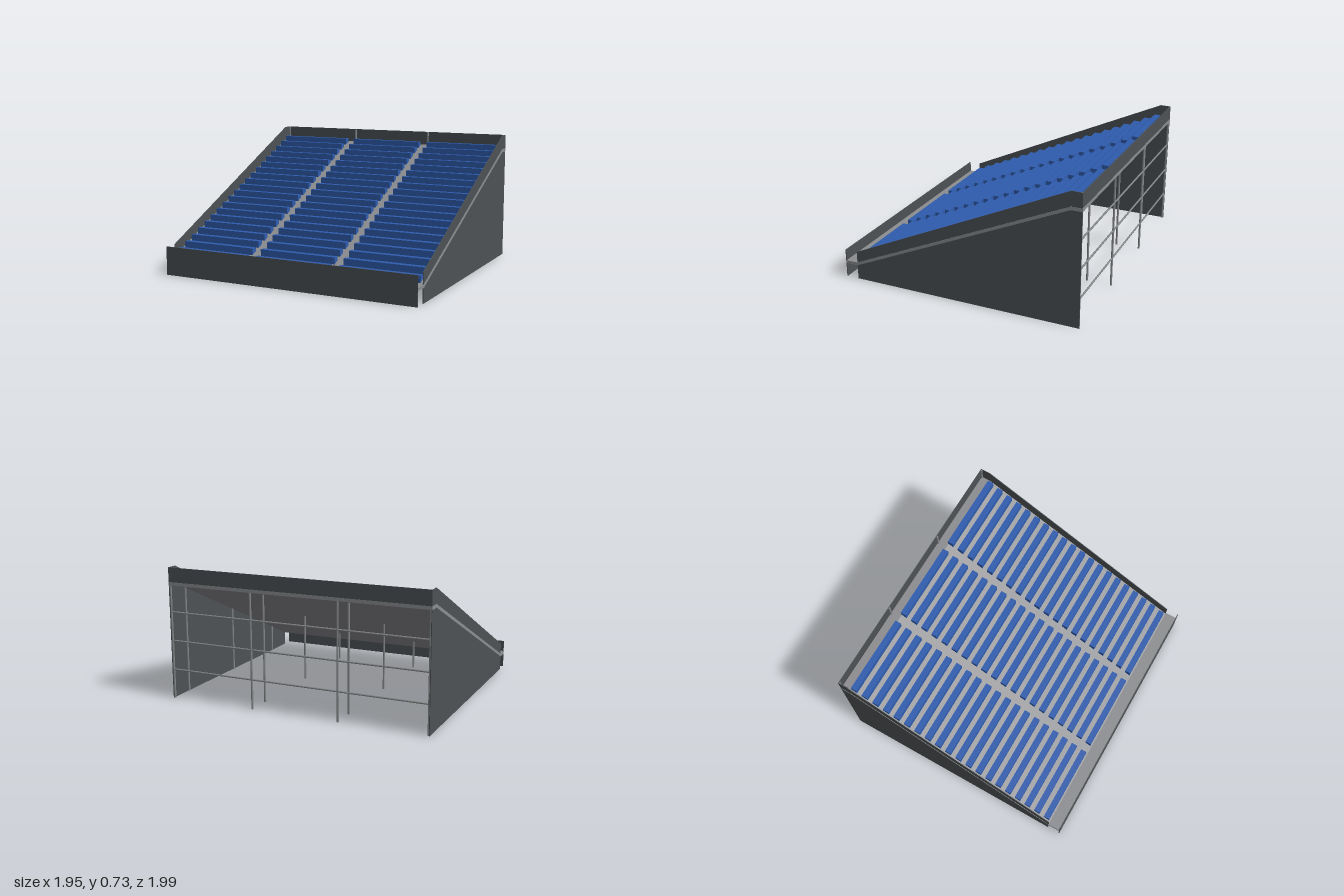
import * as THREE from 'three';

const wallMat = new THREE.MeshStandardMaterial({ name: 'dark cladding', color: 0x4d5255 });
const deckMat = new THREE.MeshStandardMaterial({ name: 'grey deck', color: 0x8c8d90 });
const seatMat = new THREE.MeshStandardMaterial({ name: 'blue seats', color: 0x2f5cae });
const steelMat = new THREE.MeshStandardMaterial({ name: 'grey steel', color: 0x85888a });

// Local frame: x runs up the slope, z across the stand
const FRONT = -0.683, BACK = 0.683, FOOT = -0.612, CREST = 0.623, HALF = 0.748;
const deckTop = (x) => 0.097 + THREE.MathUtils.clamp((x - FOOT) / (CREST - FOOT), 0, 1) * 0.553;

export function createModel() {
  const model = new THREE.Group();
  model.name = 'grandstand';
  const add = (geometry, material, name, x = 0, y = 0, z = 0) => {
    const mesh = new THREE.Mesh(geometry, material);
    mesh.name = name;
    mesh.position.set(x, y, z);
    model.add(mesh);
    return mesh;
  };
  // Side profile pushed out across the stand
  const slab = (points, width) => {
    const shape = new THREE.Shape(points.map(([x, y]) => new THREE.Vector2(x, y)));
    return new THREE.ExtrudeGeometry(shape, { depth: width, bevelEnabled: false }).translate(0, 0, -width / 2);
  };

  // Sloping deck with a walkway at the foot and the crest
  add(slab([
    [FRONT, 0.08], [FOOT, 0.08], [CREST, 0.632], [BACK + 0.001, 0.632],
    [BACK + 0.001, 0.65], [CREST, 0.65], [FOOT, 0.097], [FRONT, 0.097],
  ], 2 * HALF + 0.003), deckMat, 'deck');

  // Side walls
  const sideGeo = slab([[FOOT, 0], [BACK, 0], [BACK, 0.73], [CREST, 0.73], [FOOT, 0.16]], 0.004);
  for (const s of [-1, 1]) add(sideGeo, wallMat, s > 0 ? 'leftWall' : 'rightWall', 0, 0, s * (HALF - 0.002));

  // Front barrier and back parapet
  add(new THREE.BoxGeometry(0.004, 0.16, 2 * HALF), wallMat, 'frontBarrier', FRONT, 0.08, 0);
  add(new THREE.BoxGeometry(0.004, 0.085, 2 * HALF), wallMat, 'backParapet', BACK - 0.002, 0.6875, 0);

  // Bench rows in three blocks
  const rows = 20, firstRow = -0.586, lastRow = 0.61, seatHeight = 0.029;
  const blocks = [[-0.728, -0.28], [-0.227, 0.223], [0.274, 0.728]];
  for (let i = 0; i < rows; i++) {
    const x = THREE.MathUtils.lerp(firstRow, lastRow, i / (rows - 1));
    for (const [a, b] of blocks) {
      add(new THREE.BoxGeometry(0.034, seatHeight + 0.008, b - a), seatMat, 'bench',
        x, deckTop(x) + seatHeight / 2 - 0.004, (a + b) / 2);
    }
  }

  // Columns under the deck and posts along the back
  const column = (x, z, top, name) =>
    add(new THREE.CylinderGeometry(0.006, 0.006, top, 8), steelMat, name, x, top / 2, z);
  for (const z of [-0.741, -0.25, 0.25, 0.741]) {
    for (const x of [-0.43, 0.055, 0.54]) column(x, z, deckTop(x) - 0.01, 'column');
    column(BACK - 0.006, z, 0.728, 'backPost');
  }

  // Horizontal rails across the open back
  for (const y of [0.163, 0.325, 0.485]) {
    const rail = add(new THREE.CylinderGeometry(0.005, 0.005, 2 * HALF - 0.01, 8), steelMat, 'backRail', BACK - 0.006, y, 0);
    rail.rotation.x = Math.PI / 2;
  }

  // The stand is turned on its plot
  model.rotation.y = 0.555;
  const root = new THREE.Group();
  root.name = 'stand';
  root.add(model);
  return root;
}
